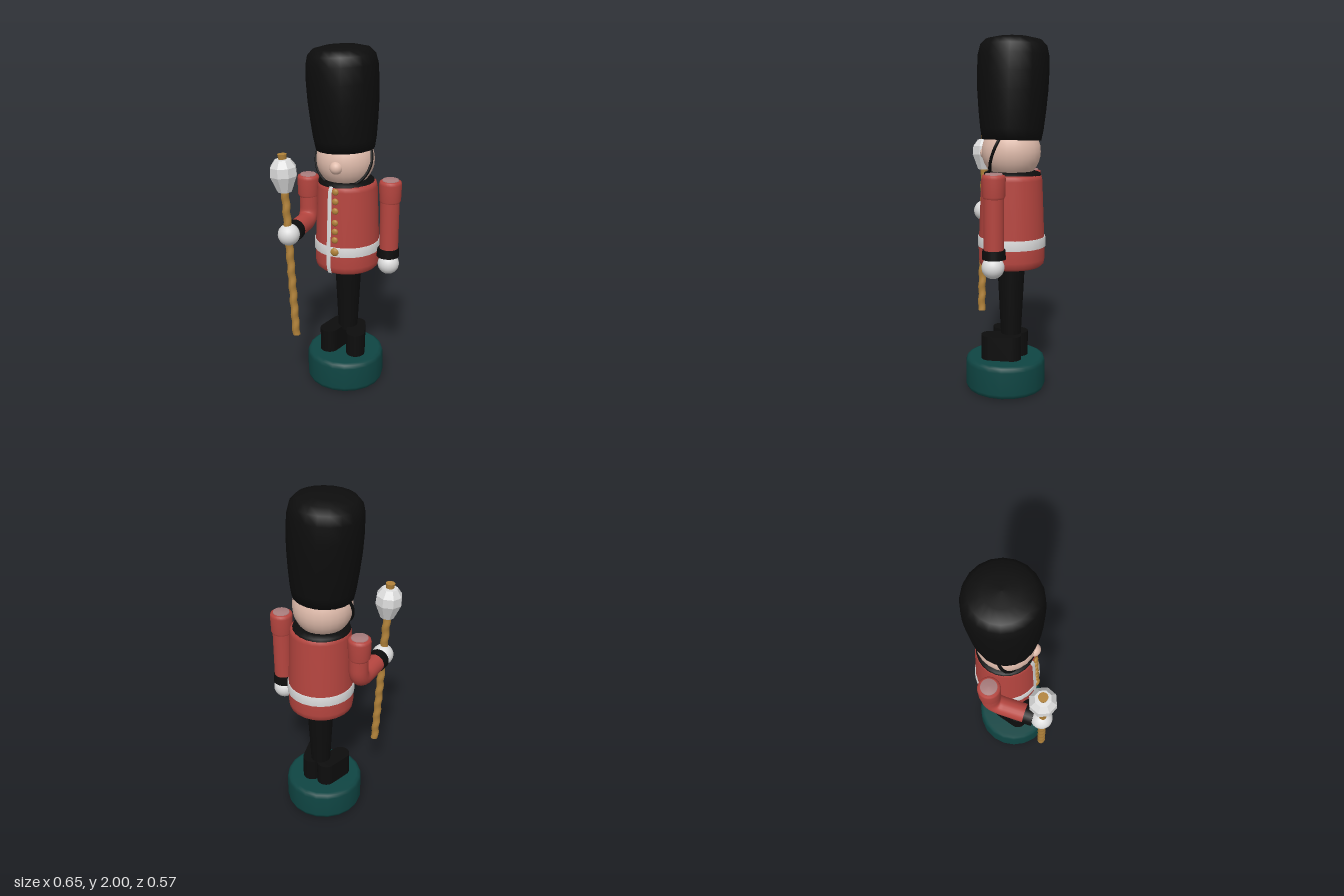
import * as THREE from 'three';

const mat = (name, color) => {
  const m = new THREE.MeshStandardMaterial({ color });
  m.name = name;
  return m;
};

export function createModel() {
  const red = mat('coat red', 0xb5453f);
  const black = mat('black', 0x0d0d0d);
  const white = mat('white', 0xdcdcdc);
  const skin = mat('skin', 0xe0bcac);
  const gold = mat('gold', 0xb1823a);
  const teal = mat('base teal', 0x0f4543);
  const mauve = mat('shoulder cap', 0xa87c7c);
  const whiteFlat = mat('mace white', 0xdcdcdc);
  whiteFlat.flatShading = true;

  const root = new THREE.Group();
  const add = (name, geo, material, x = 0, y = 0, z = 0, parent = root) => {
    const m = new THREE.Mesh(geo, material);
    m.name = name;
    m.position.set(x, y, z);
    parent.add(m);
    return m;
  };
  const lathe = (pts, seg = 24, start = 0, len = Math.PI * 2) =>
    new THREE.LatheGeometry(pts.map(p => new THREE.Vector2(p[0], p[1])), seg, start, len);
  const ball = r => new THREE.SphereGeometry(r, 24, 16);
  const cyl = (top, bottom, h, seg = 24) => new THREE.CylinderGeometry(top, bottom, h, seg);

  // Round base with softened rims
  add('base', lathe([[0, 0], [0.205, 0], [0.222, 0.008], [0.23, 0.03], [0.23, 0.16],
    [0.222, 0.182], [0.205, 0.19], [0, 0.19]], 20), teal, 0.015, 0, -0.052);

  // Splayed boots with rounded heels and toes
  const sole = new THREE.Shape();
  sole.absarc(0, 0.06, 0.055, 0, Math.PI, false);
  sole.absarc(0, -0.06, 0.055, Math.PI, Math.PI * 2, false);
  sole.closePath();
  for (const s of [-1, 1]) {
    const geo = new THREE.ExtrudeGeometry(sole, { depth: 0.145, bevelEnabled: false, curveSegments: 10 });
    geo.rotateX(-Math.PI / 2);
    const boot = add(s > 0 ? 'leftBoot' : 'rightBoot', geo, black, 0.015 + s * 0.066, 0.185, -0.055);
    boot.rotation.y = s * 0.28;
  }
  add('legs', cyl(0.08, 0.057, 0.45), black, 0.018, 0.535, -0.088);

  // Coat, belt and front stripe share one centre line
  const cx = 0.012, cz = -0.088;
  const coatRadius = y => 0.187 - 0.017 * Math.max(0, (y - 0.85) / 0.4);
  add('coat', lathe([[0, 0.73], [0.165, 0.73], [0.182, 0.745], [0.187, 0.775], [0.187, 0.85],
    [coatRadius(1.22), 1.22], [0.166, 1.24], [0.155, 1.25], [0, 1.25]]), red, cx, 0, cz);
  add('belt', lathe([[0.186, 0.845], [0.192, 0.845], [0.191, 0.9], [0.184, 0.9]]), white, cx, 0, cz);
  add('frontStripe', lathe([[0.182, 0.735], [0.193, 0.775], [0.195, 0.85],
    [coatRadius(1.22) + 0.007, 1.22], [0.163, 1.25]], 4, -0.31, 0.14), white, cx, 0, cz);
  add('collar', lathe([[0.162, 1.242], [0.158, 1.256], [0.13, 1.266], [0, 1.266]]), black, cx - 0.006, 0, cz);
  for (const y of [1.225, 1.17, 1.115, 1.047, 0.995, 0.945, 0.875]) {
    const r = y < 0.9 ? 0.024 : 0.019;
    const button = add(y < 0.9 ? 'beltBuckle' : 'button', ball(r), gold, 0.003, y, cz + coatRadius(y) + 0.003);
    button.scale.z = 0.6;
  }

  // Head, nose and chin strap
  add('head', ball(0.165), skin, 0.002, 1.375, -0.08);
  add('nose', ball(0.037), skin, 0.003, 1.36, 0.072);
  const strapGeo = new THREE.TorusGeometry(0.164, 0.009, 8, 32, Math.PI * 1.3);
  strapGeo.rotateZ(Math.PI * 0.85);
  add('chinStrap', strapGeo, black, 0.002, 1.385, -0.048).rotation.x = -0.4;

  // Tall fur hat, leaning slightly
  const hat = add('furHat', lathe([[0, 0], [0.166, 0], [0.177, 0.06], [0.188, 0.16], [0.197, 0.27],
    [0.2, 0.37], [0.197, 0.46], [0.185, 0.51], [0.155, 0.542], [0.09, 0.557], [0, 0.561]], 20),
    black, 0.0, 1.438, -0.08);
  hat.rotation.z = 0.045;

  // Shoulder cap shared by both arms
  const shoulder = (side, x, top, z) => {
    add(side + 'Shoulder', lathe([[0.052, -0.13], [0.061, -0.115], [0.064, -0.02], [0.06, -0.004],
      [0.048, 0], [0, 0]]), red, x, top, z);
    add(side + 'ShoulderCap', lathe([[0.047, -0.002], [0.045, 0.007], [0, 0.009]]), mauve, x, top, z);
  };

  // Straight left arm
  shoulder('left', 0.264, 1.268, -0.095);
  add('leftArm', cyl(0.055, 0.054, 0.32), red, 0.263, 1.01, -0.094);
  add('leftCuff', cyl(0.062, 0.065, 0.05), black, 0.259, 0.84, -0.093);
  add('leftHand', ball(0.062), white, 0.264, 0.768, -0.09);

  // Bent right arm reaching forward
  shoulder('right', -0.235, 1.25, -0.097);
  const path = new THREE.CurvePath();
  const v = (y, z) => new THREE.Vector3(-0.232, y, z);
  path.add(new THREE.LineCurve3(v(1.2, -0.097), v(1.06, -0.097)));
  path.add(new THREE.QuadraticBezierCurve3(v(1.06, -0.097), v(0.98, -0.097), v(0.98, -0.015)));
  path.add(new THREE.LineCurve3(v(0.98, -0.015), v(0.983, 0.12)));
  add('rightArm', new THREE.TubeGeometry(path, 28, 0.054, 20), red);
  const cuff = add('rightCuff', cyl(0.06, 0.06, 0.05), black, -0.231, 0.984, 0.133);
  cuff.rotation.x = Math.PI / 2;
  add('rightHand', ball(0.062), white, -0.23, 0.988, 0.203);

  // Leaning mace: twisted shaft, faceted head and tip
  const mace = new THREE.Group();
  mace.name = 'mace';
  mace.position.set(-0.197, 0.365, 0.207);
  mace.rotation.z = 0.054;
  root.add(mace);
  const shaft = new THREE.CylinderGeometry(0.022, 0.022, 1.0, 12, 60);
  const p = shaft.attributes.position;
  for (let i = 0; i < p.count; i++) {
    const a = p.getY(i) * 70;
    p.setX(i, p.getX(i) + 0.0025 * Math.sin(a));
    p.setZ(i, p.getZ(i) + 0.0025 * Math.cos(a));
  }
  shaft.computeVertexNormals();
  add('maceShaft', shaft, gold, 0, 0.5, 0, mace);
  add('maceHead', lathe([[0, 0.875], [0.04, 0.875], [0.077, 0.965], [0.074, 1.015], [0.045, 1.055],
    [0, 1.06]], 8), whiteFlat, 0, 0, 0, mace);
  add('maceTip', cyl(0.026, 0.022, 0.03, 14), gold, 0, 1.07, 0, mace);

  return root;
}
